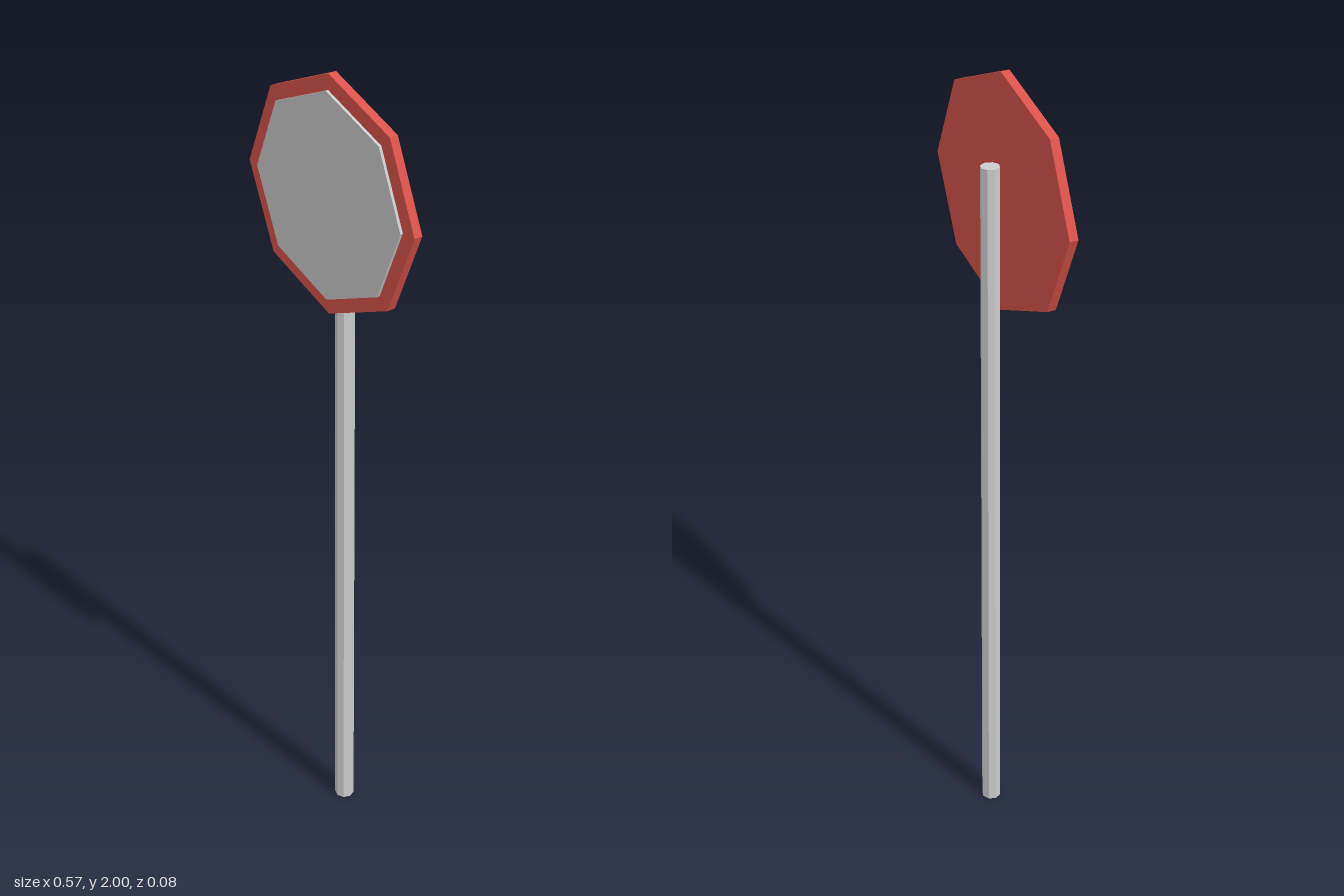
import * as THREE from 'three';

const SIDES = 8;
const SIGN_Y = 1.717;

function part(name, geometry, color) {
  const material = new THREE.MeshStandardMaterial({ color, flatShading: true });
  const mesh = new THREE.Mesh(geometry, material);
  mesh.name = name;
  return mesh;
}

// Octagonal plate facing +z, with a corner pointing straight up
function plate(name, radius, zBack, zFront, color) {
  const geometry = new THREE.CylinderGeometry(radius, radius, zFront - zBack, SIDES);
  geometry.rotateX(Math.PI / 2);
  const mesh = part(name, geometry, color);
  mesh.position.set(0, SIGN_Y, (zBack + zFront) / 2);
  return mesh;
}

export function createModel() {
  const model = new THREE.Group();
  model.name = 'roadSign';

  // Slightly tapered post standing just behind the sign
  const postHeight = 1.79;
  const post = part('post', new THREE.CylinderGeometry(0.0225, 0.0245, postHeight, SIDES), 0xcccccc);
  post.position.set(0, postHeight / 2, -0.017);
  model.add(post);

  // Red backing plate and the raised pale face in front of it
  model.add(plate('backingPlate', 0.283, 0.009, 0.031, 0xd9534a));
  model.add(plate('signFace', 0.246, 0.031, 0.038, 0xcccccc));

  return model;
}
